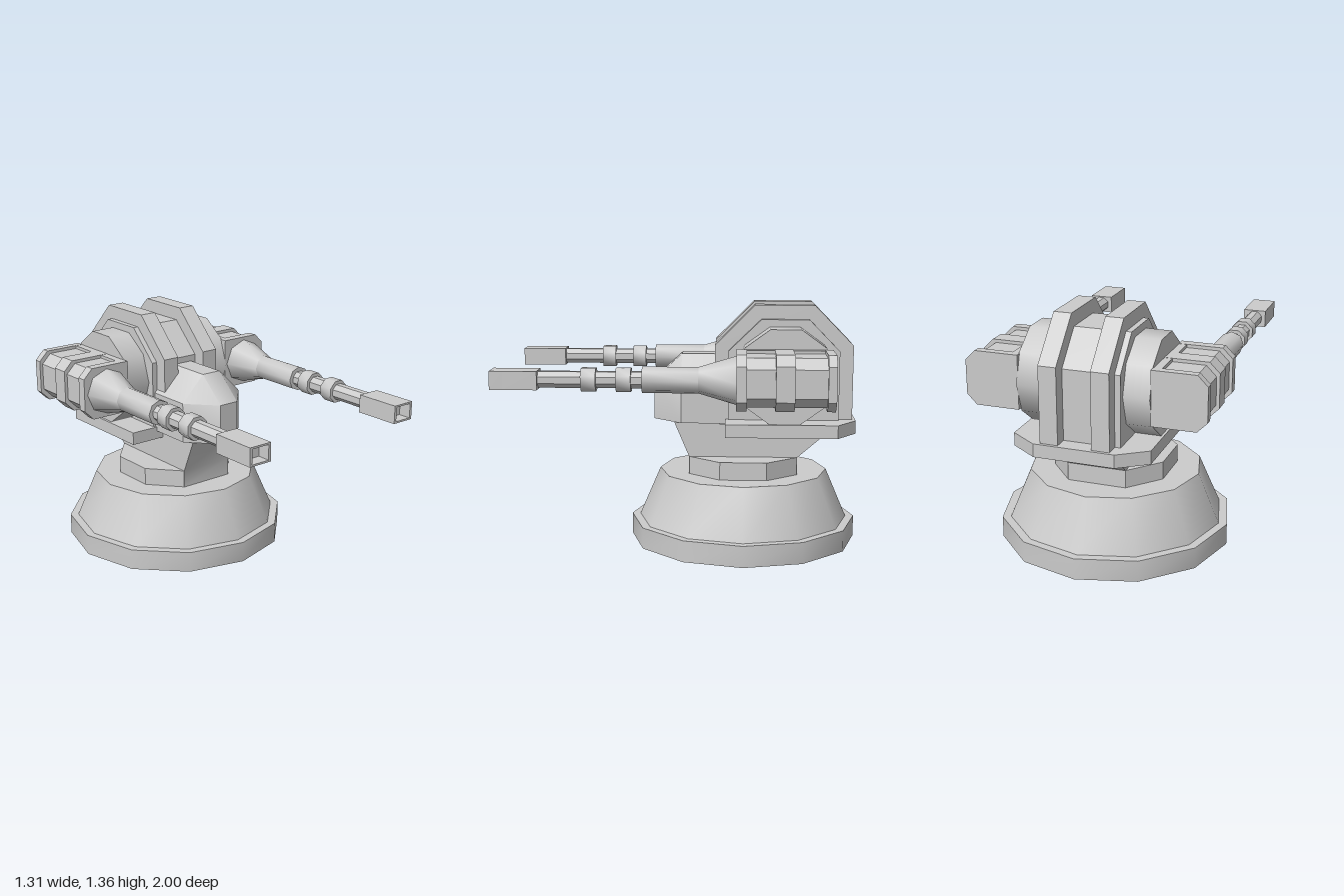
import * as THREE from 'three';
import { toCreasedNormals } from 'three/addons/utils/BufferGeometryUtils.js';
import { ConvexGeometry } from 'three/addons/geometries/ConvexGeometry.js';

const material = new THREE.MeshStandardMaterial({ color: 0xcccccc });

function add(parent, name, geometry) {
  const mesh = new THREE.Mesh(geometry, material);
  mesh.name = name;
  parent.add(mesh);
  return mesh;
}

const shapeOf = (points) => new THREE.Shape(points.map(([x, y]) => new THREE.Vector2(x, y)));
const extrude = (shape, depth) => new THREE.ExtrudeGeometry(shape, { depth, bevelEnabled: false });

// Side profile given as [z, y], spanning x0..x1
const sideSlab = (points, x0, x1) =>
  extrude(shapeOf(points), x1 - x0).rotateY(-Math.PI / 2).translate(x1, 0, 0);

// Plan outline given as a shape in x and z, spanning y0..y1
const planSlab = (shape, y0, y1) =>
  extrude(shape, y1 - y0).rotateX(Math.PI / 2).translate(0, y1, 0);

// Front outline given as a shape in x and y, spanning z0..z1
const frontSlab = (shape, z0, z1) => extrude(shape, z1 - z0).translate(0, 0, z0);

// Smooth-sided frustum standing on y
const upright = (rTop, rBottom, y0, y1, sides) => toCreasedNormals(
  new THREE.CylinderGeometry(rTop, rBottom, y1 - y0, sides).translate(0, (y0 + y1) / 2, 0), 0.9);

// Octagonal frustum along z, turned about its axis by the given angle
function octTube(front, back, z0, z1, turn, crease) {
  const g = new THREE.CylinderGeometry(front, back, z1 - z0, 8);
  g.rotateY(turn).rotateX(Math.PI / 2).translate(0, 0, (z0 + z1) / 2);
  return toCreasedNormals(g, crease);
}

function buildBase(root) {
  const base = new THREE.Group();
  base.name = 'base';
  base.position.z = -0.352;
  add(base, 'baseDisc', upright(0.647, 0.647, 0, 0.12, 12));
  add(base, 'baseCone', upright(0.48, 0.6, 0.12, 0.4, 12));
  const a = 0.165, b = 0.317, c = 0.13, d = 0.304;
  add(base, 'turntable', planSlab(shapeOf(
    [[a, d], [b, c], [b, -c], [a, -d], [-a, -d], [-b, -c], [-b, c], [-a, d]]), 0.4, 0.5));
  root.add(base);
}

// Deck outline with chamfered rear corners, shrunk by an inset
function deckShape(inset) {
  const w = 0.376 - inset, m = 0.22 - inset * 0.7, front = -0.25 - inset;
  const corner = -0.865 + inset * 0.5, rear = -0.975 + inset;
  return shapeOf([[-w, front], [w, front], [w, corner], [m, rear], [-m, rear], [-w, corner]]);
}

function buildBody(root) {
  const body = new THREE.Group();
  body.name = 'body';
  // Tapered neck flaring out under the body
  add(body, 'neck', toCreasedNormals(sideSlab(
    [[-0.045, 0.4], [-0.045, 0.5], [0.04, 0.7], [-0.86, 0.7], [-0.86, 0.675], [-0.658, 0.5], [-0.658, 0.4]],
    -0.165, 0.165), 0.6));
  // Deck under the drum, hollowed below
  const rim = deckShape(0);
  rim.holes.push(deckShape(0.02));
  add(body, 'deckRim', planSlab(rim, 0.652, 0.7));
  add(body, 'deck', planSlab(deckShape(0), 0.7, 0.725));
  add(body, 'hull', sideSlab(
    [[-0.265, 0.7], [-0.265, 1.11], [-0.445, 1.285], [-0.71, 1.285], [-0.88, 1.11], [-0.88, 0.7]],
    -0.22, 0.22));
  // Two raised ribs over the hull
  for (const s of [-1, 1]) {
    const x = s * 0.14;
    add(body, 'hullRib', sideSlab(
      [[-0.22, 0.69], [-0.19, 0.73], [-0.19, 1.14], [-0.41, 1.362], [-0.74, 1.362], [-0.957, 1.14],
        [-0.957, 0.7], [-0.86, 0.69]], x - 0.049, x + 0.049));
  }
  // Cross drum carrying the guns: ten sides, flat on top
  const drum = new THREE.CylinderGeometry(0.273, 0.273, 0.724, 10);
  drum.rotateZ(Math.PI / 2).translate(0, 0.985, -0.575);
  add(body, 'crossDrum', toCreasedNormals(drum, 0.7));

  // Faceted cabin with chamfered roof and cheeks
  const corners = [];
  for (const s of [-1, 1]) {
    for (const y of [0.7, 0.93]) {
      corners.push([s * 0.06, y, 0.158], [s * 0.206, y, 0], [s * 0.206, y, -0.3]);
    }
    corners.push([s * 0.06, 1.075, 0], [s * 0.06, 1.075, -0.3]);
  }
  const cabin = new ConvexGeometry(corners.map((p) => new THREE.Vector3(...p)));
  add(body, 'cabin', toCreasedNormals(cabin, 0.7));
  root.add(body);
}

// Housing outline with chamfered outer corners, shrunk by an inset
function housingShape(s, inset) {
  const o = 0.151 - inset, t = 0.149 - inset, c = 0.055;
  return shapeOf([[-0.145, -t], [o - c, -t], [o, -t + c], [o, t - c], [o - c, t], [-0.145, t]]
    .map(([x, y]) => [x * s, y]));
}

function buildGun(root, s) {
  const gun = new THREE.Group();
  gun.name = s > 0 ? 'leftGun' : 'rightGun';
  gun.position.set(s * 0.505, 0.989, 0);

  add(gun, 'housingCore', frontSlab(housingShape(s, 0.018), -0.82, -0.32));
  for (const [z0, z1] of [[-0.83, -0.785], [-0.615, -0.515], [-0.365, -0.31]]) {
    add(gun, 'housingBand', frontSlab(housingShape(s, 0), z0, z1));
  }
  // Inner strip joining the bands beside the drum
  const strip = new THREE.BoxGeometry(0.045, 0.296, 0.5);
  add(gun, 'housingStrip', strip.translate(-s * 0.1225, 0, -0.57));

  // Rounded cone and sleeve, then the faceted barrel with two rings
  const flat = Math.PI / 8;
  add(gun, 'gunCone', octTube(0.071, 0.131, -0.31, -0.11, 0, 0.9));
  add(gun, 'barrelSleeve', octTube(0.071, 0.071, -0.11, 0.19, 0, 0.9));
  add(gun, 'barrel', octTube(0.047, 0.047, 0.19, 0.76, flat, 0.5));
  for (const z of [0.288, 0.475]) {
    add(gun, 'barrelRing', octTube(0.067, 0.067, z - 0.04, z + 0.04, flat, 0.9));
  }

  // Rectangular muzzle with a recessed mouth
  const rect = (w, h) => shapeOf([[-w, -h], [w, -h], [w, h], [-w, h]]);
  const rim = rect(0.067, 0.05);
  rim.holes.push(rect(0.052, 0.04));
  add(gun, 'muzzleRim', frontSlab(rim, 0.93, 1));
  add(gun, 'muzzleBlock', frontSlab(rect(0.067, 0.05), 0.745, 0.93));
  root.add(gun);
}

export function createModel() {
  const root = new THREE.Group();
  root.name = 'gunTurret';
  buildBase(root);
  buildBody(root);
  for (const s of [-1, 1]) buildGun(root, s);
  return root;
}
